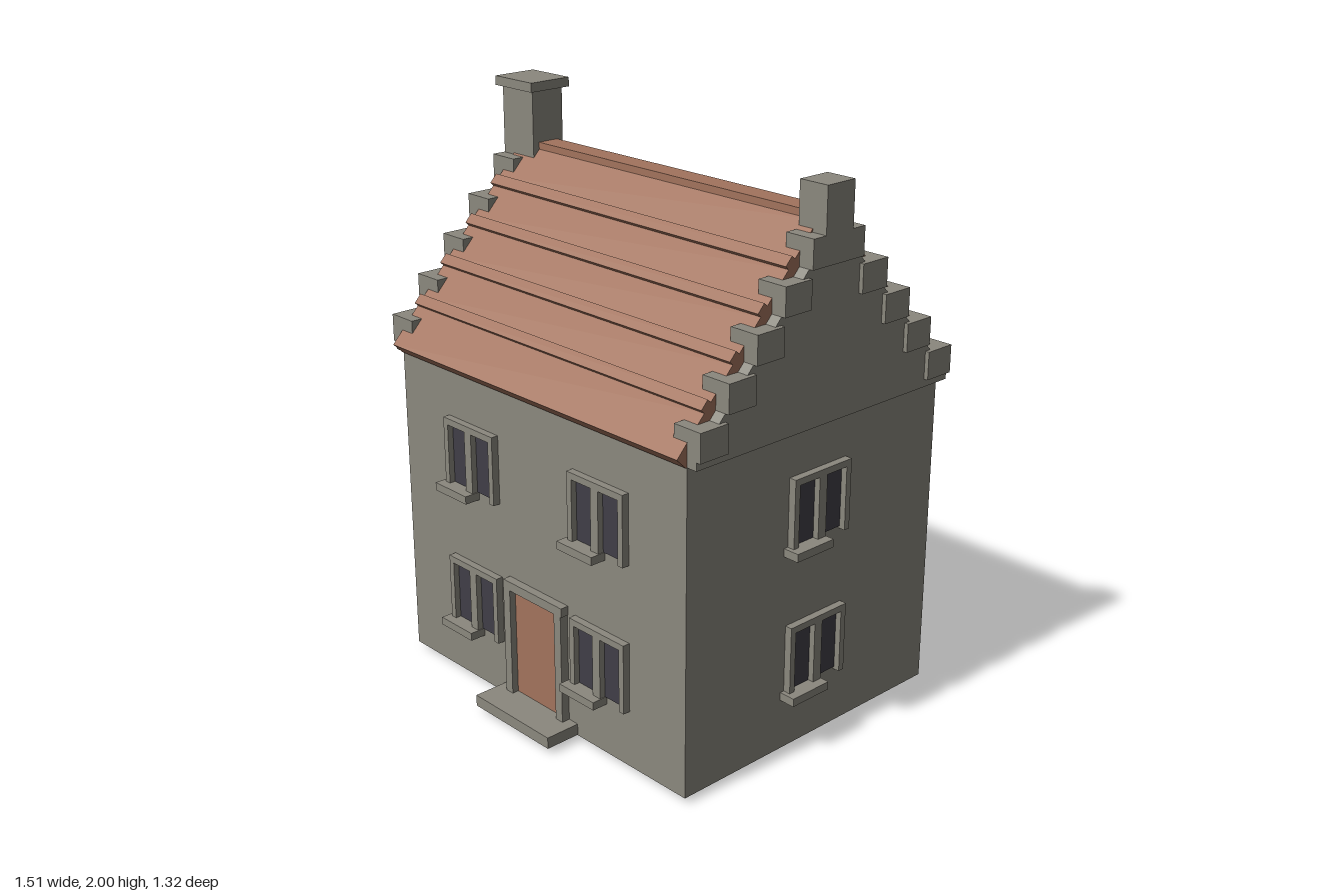
import * as THREE from 'three';

const stone = new THREE.MeshStandardMaterial({ color: 0x8b887e });
stone.name = 'stone';
const clay = new THREE.MeshStandardMaterial({ color: 0xa2735d });
clay.name = 'terracotta';
const glass = new THREE.MeshStandardMaterial({ color: 0x403e47 });
glass.name = 'dark glass';

const CX = 0.004, CZ = -0.033; // centre of the house block
const HW = 0.694, HD = 0.567; // half width and half depth of the walls
const WALL_TOP = 1.13;

// Box given by its limits on each axis
function box(parent, name, mat, x0, x1, y0, y1, z0, z1) {
  const mesh = new THREE.Mesh(new THREE.BoxGeometry(x1 - x0, y1 - y0, z1 - z0), mat);
  mesh.position.set((x0 + x1) / 2, (y0 + y1) / 2, (z0 + z1) / 2);
  mesh.name = name;
  parent.add(mesh);
  return mesh;
}

// Extrudes a (z, y) half profile, mirrored front to back, between x0 and x1
function ridgePrism(parent, name, mat, half, x0, x1) {
  const pts = [...half, ...half.map(([z, y]) => [-z, y]).reverse()];
  const shape = new THREE.Shape(pts.map(([z, y]) => new THREE.Vector2(z, y)));
  const geo = new THREE.ExtrudeGeometry(shape, { depth: x1 - x0, bevelEnabled: false });
  geo.rotateY(-Math.PI / 2);
  const mesh = new THREE.Mesh(geo, mat);
  mesh.position.x = x1;
  mesh.name = name;
  parent.add(mesh);
}

// Two-pane window facing +z on the plane z = 0, centred on x = 0
function makeWindow() {
  const g = new THREE.Group();
  g.name = 'window';
  const d = 0.026;
  box(g, 'windowTop', stone, -0.129, 0.129, 0.947, 0.97, -0.01, d);
  box(g, 'windowLeftPost', stone, -0.129, -0.107, 0.728, 0.947, -0.01, d);
  box(g, 'windowMullion', stone, -0.018, 0.017, 0.728, 0.947, -0.01, d);
  box(g, 'windowRightPost', stone, 0.107, 0.129, 0.728, 0.947, -0.01, d);
  box(g, 'windowSill', stone, -0.145, 0.02, 0.708, 0.736, -0.01, 0.058);
  box(g, 'windowPane', glass, -0.107, -0.018, 0.736, 0.947, -0.003, 0.005);
  box(g, 'windowPane', glass, 0.017, 0.107, 0.736, 0.947, -0.003, 0.005);
  return g;
}

export function createModel() {
  const model = new THREE.Group();
  model.name = 'house';
  const house = new THREE.Group();
  house.name = 'houseBlock';
  house.position.set(CX, 0, CZ);
  model.add(house);

  box(house, 'walls', stone, -HW, HW, 0.02, WALL_TOP, -HD, HD);

  // Roof: sloped profile with four raised battens on each side
  const angle = Math.atan(1.058), c = Math.cos(angle), s = Math.sin(angle);
  const eave = [0.608, 1.165];
  const onSlope = (along, lift) => [eave[0] - along * c + lift * s, eave[1] + along * s + lift * c];
  const profile = [[0.572, WALL_TOP], eave];
  for (let i = 0; i < 4; i++) {
    const a = 0.158 + i * 0.165, lift = 0.017, w = 0.038;
    profile.push(onSlope(a, 0), onSlope(a, lift), onSlope(a + w, lift), onSlope(a + w, 0));
  }
  profile.push([0.039, 1.767]);
  ridgePrism(house, 'roof', clay, profile, -HW, HW);
  box(house, 'ridgeCap', clay, -HW, HW, 1.74, 1.79, -0.04, 0.04);

  // Crow-stepped gables
  for (const side of [-1, 1]) {
    const gable = new THREE.Group();
    gable.name = side > 0 ? 'leftGable' : 'rightGable';
    house.add(gable);
    const span = (a, b) => (side > 0 ? [a, b] : [-b, -a]);
    ridgePrism(gable, 'gableWall', stone, [[HD, WALL_TOP], [HD, 1.157], [0.113, 1.64]], ...span(0.685, 0.733));
    for (let i = 0; i < 5; i++) {
      const y = 1.157 + i * 0.1205, z1 = HD - i * 0.1134, z0 = z1 - 0.1134;
      box(gable, 'crowStep', stone, ...span(0.638, 0.748), y, y + 0.095, z0, z1);
      box(gable, 'crowStep', stone, ...span(0.638, 0.748), y, y + 0.095, -z1, -z0);
    }
    box(gable, 'gablePier', stone, ...span(0.638, 0.748), 1.7, 1.885, -0.06, 0.06);
  }

  // Chimney on the right gable
  box(house, 'chimney', stone, -0.744, -0.586, 1.68, 1.97, -0.065, 0.065);
  box(house, 'chimneyCap', stone, -0.761, -0.569, 1.968, 2.0, -0.083, 0.083);

  // Windows: [turn about y, wall distance, offsets along the wall]
  const faces = [
    [0, HD, [-0.318, 0.313]],
    [Math.PI, HD, [-0.318, 0.313]],
    [Math.PI / 2, HW, [0]],
    [-Math.PI / 2, HW, [0]],
  ];
  for (const [turn, dist, offsets] of faces) {
    const wall = new THREE.Group();
    wall.name = 'wallWindows';
    wall.rotation.y = turn;
    house.add(wall);
    for (const x of offsets) {
      for (const y of [0, -0.509]) {
        const w = makeWindow();
        w.position.set(x, y, dist);
        wall.add(w);
      }
    }
  }

  // Front door with surround and step
  const door = new THREE.Group();
  door.name = 'frontDoor';
  door.position.set(CX, 0, CZ + HD);
  model.add(door);
  box(door, 'doorPanel', clay, -0.114, 0.112, 0.03, 0.448, -0.003, 0.006);
  box(door, 'doorLeftPost', stone, 0.112, 0.145, 0, 0.448, -0.002, 0.03);
  box(door, 'doorRightPost', stone, -0.147, -0.114, 0, 0.448, -0.002, 0.03);
  box(door, 'doorLintel', stone, -0.147, 0.149, 0.448, 0.48, -0.002, 0.03);
  box(door, 'doorStep', stone, -0.188, 0.187, 0.022, 0.062, -0.002, 0.128);

  return model;
}
